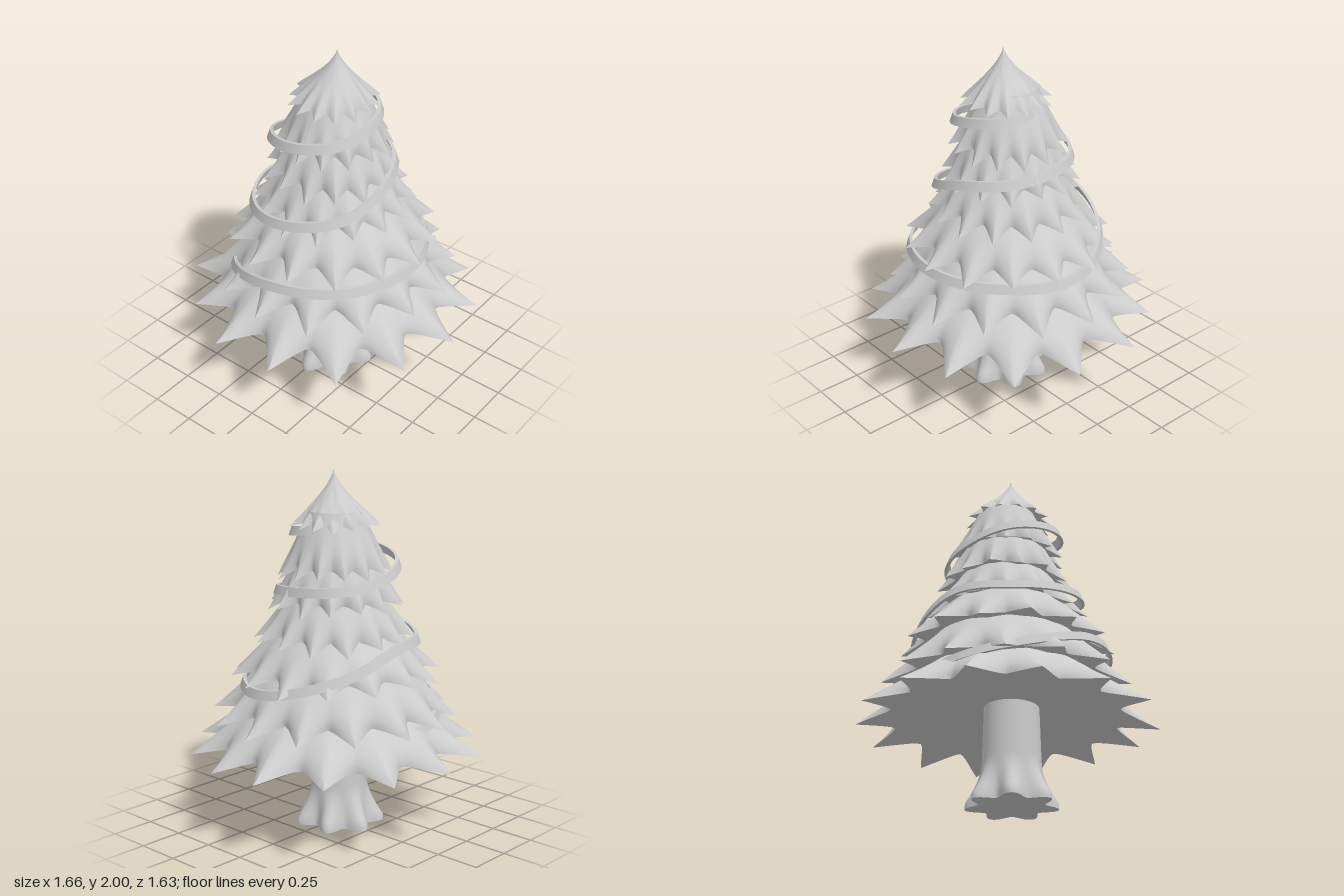
import * as THREE from 'three';
import { toCreasedNormals } from 'three/addons/utils/BufferGeometryUtils.js';

const { lerp } = THREE.MathUtils;
const SPIKES = 14;
const material = new THREE.MeshStandardMaterial({ color: 0xcccccc });

// Closed loft: point(row, column) returns [x, y, z]; columns wrap around.
function loft(name, rows, cols, point, crease) {
  const positions = [], index = [];
  for (let j = 0; j <= rows; j++) {
    for (let i = 0; i < cols; i++) {
      positions.push(...point(j, i));
      if (j === rows) continue;
      const k = (i + 1) % cols;
      const a = j * cols + i, b = a + cols, c = (j + 1) * cols + k, d = j * cols + k;
      index.push(a, b, c, a, c, d);
    }
  }
  const geometry = new THREE.BufferGeometry();
  geometry.setAttribute('position', new THREE.Float32BufferAttribute(positions, 3));
  geometry.setIndex(index);
  const mesh = new THREE.Mesh(toCreasedNormals(geometry, crease), material);
  mesh.name = name;
  return mesh;
}

// Repeatable variation in -1..1
const vary = (n) => {
  const s = Math.sin(n * 127.1 + 11.7) * 43758.5453;
  return 2 * (s - Math.floor(s)) - 1;
};

// One skirt of pointed boughs: outer slope, then the hollow underside.
function boughTier(t, level) {
  const per = 12, cols = SPIKES * per, slope = 12, under = 4;
  const shift = level % 2 ? 0.5 : 0;
  return loft('boughTier' + (level + 1), slope + under, cols, (j, i) => {
    const u = i / per;
    const spike = Math.round(u) % SPIKES;
    const d = Math.abs(u - Math.round(u)) * 2;          // 0 at a tip, 1 in a valley
    const angle = Math.PI / 2 + (u + shift) * 2 * Math.PI / SPIKES;
    const id = level * 31 + spike;
    const fade = 1 - d;
    const dip = 1 - Math.pow(fade, 1.5);                // sharp tips, rounded valleys
    const edgeR = lerp(t.tipR * (1 + 0.025 * vary(id) * fade), t.tipR * 0.76, dip);
    const edgeY = t.tipY + t.lift * dip + 0.02 * vary(id + 500) * fade;
    let r, y;
    if (j <= slope) {
      const s = j / slope;
      const ridge = lerp(t.topR, t.tipR, t.apex ? Math.pow(s, 1.4) : s);
      const full = lerp(t.topR, edgeR, s);
      r = lerp(ridge, full, s * s) * (1 - 0.04 * dip * Math.sin(Math.PI * s));
      y = lerp(t.topY, edgeY, t.apex ? Math.pow(s, 0.95) : Math.pow(s, 0.88));
    } else {
      const s = (j - slope) / under;
      r = lerp(edgeR, t.coreR, s);
      y = lerp(edgeY, t.tipY + t.hollow, Math.pow(s, 0.7));
    }
    const x0 = t.apex ? lerp(0.01, 0.03, Math.max(0, (y - 1.7) / 0.3)) : 0;
    return [x0 + r * Math.sin(angle), y, r * Math.cos(angle) + (t.apex ? 0.015 : 0)];
  }, 1.0);
}

export function createModel() {
  const tree = new THREE.Group();
  tree.name = 'decoratedTree';

  // Trunk with lobed root flare, short upright toes and closed base
  const trunkRows = 20;
  tree.add(loft('trunk', trunkRows + 1, 84, (j, i) => {
    const a = i / 84 * 2 * Math.PI;
    const s = Math.min(j / trunkRows, 1);
    const y = 0.62 * (1 - s);
    const flare = Math.pow(Math.min(1, Math.max(0, 1 - (y - 0.03) / 0.2)), 1.5);
    const r = j > trunkRows ? 0
      : 0.148 + 0.017 * s + flare * (0.052 + 0.038 * Math.cos(7 * a));
    return [0.005 + r * Math.sin(a), y, 0.035 + r * Math.cos(a)];
  }, 0.9));

  // Bough tiers, lowest first: tip radius, tip height, top radius, top height
  const tiers = [
    [0.82, 0.45, 0.36, 0.82],
    [0.69, 0.65, 0.34, 1.01],
    [0.595, 0.87, 0.27, 1.21],
    [0.45, 1.07, 0.215, 1.40],
    [0.38, 1.26, 0.185, 1.60],
    [0.325, 1.44, 0.15, 1.78],
    [0.25, 1.69, 0, 2.00],
  ];
  tiers.forEach(([tipR, tipY, topR, topY], level) => tree.add(boughTier({
    tipR, tipY, topR, topY,
    apex: level === 6,
    lift: level === 6 ? 0.025 : 0.045,
    coreR: level ? tipR * 0.3 : 0.12,
    hollow: level ? 0.08 : 0.1,
  }, level)));

  // Garland: flat band wound upward, given as [radius, height] every 45 degrees
  const stops = [
    [0.55, 0.62], [0.57, 0.69], [0.57, 0.81], [0.56, 0.84],
    [0.53, 0.84], [0.51, 0.84], [0.54, 0.85], [0.50, 0.95],
    [0.45, 1.08], [0.45, 1.08], [0.44, 1.13], [0.41, 1.20],
    [0.35, 1.31], [0.32, 1.35], [0.30, 1.37], [0.33, 1.39],
    [0.33, 1.43], [0.34, 1.50], [0.33, 1.55], [0.30, 1.59],
    [0.26, 1.64], [0.23, 1.67], [0.18, 1.69],
  ];
  const path = new THREE.CatmullRomCurve3(
    stops.map(([r, y], k) => new THREE.Vector3((k - 2) * Math.PI / 4, y, r)));
  // Band section leans with the boughs: lower edge further out
  const section = [[0.021, -0.025], [0.004, 0.025], [-0.014, 0.025], [0.003, -0.025]];
  const steps = 220;
  tree.add(loft('garland', steps + 2, 4, (j, i) => {
    const p = path.getPoint(Math.min(Math.max(j - 1, 0), steps) / steps);
    const size = j === 0 || j === steps + 2 ? 0 : 1;    // collapsed rows close the ends
    const r = p.z + section[i][0] * size;
    return [r * Math.sin(p.x), p.y + section[i][1] * size, r * Math.cos(p.x)];
  }, 0.7));

  return tree;
}
